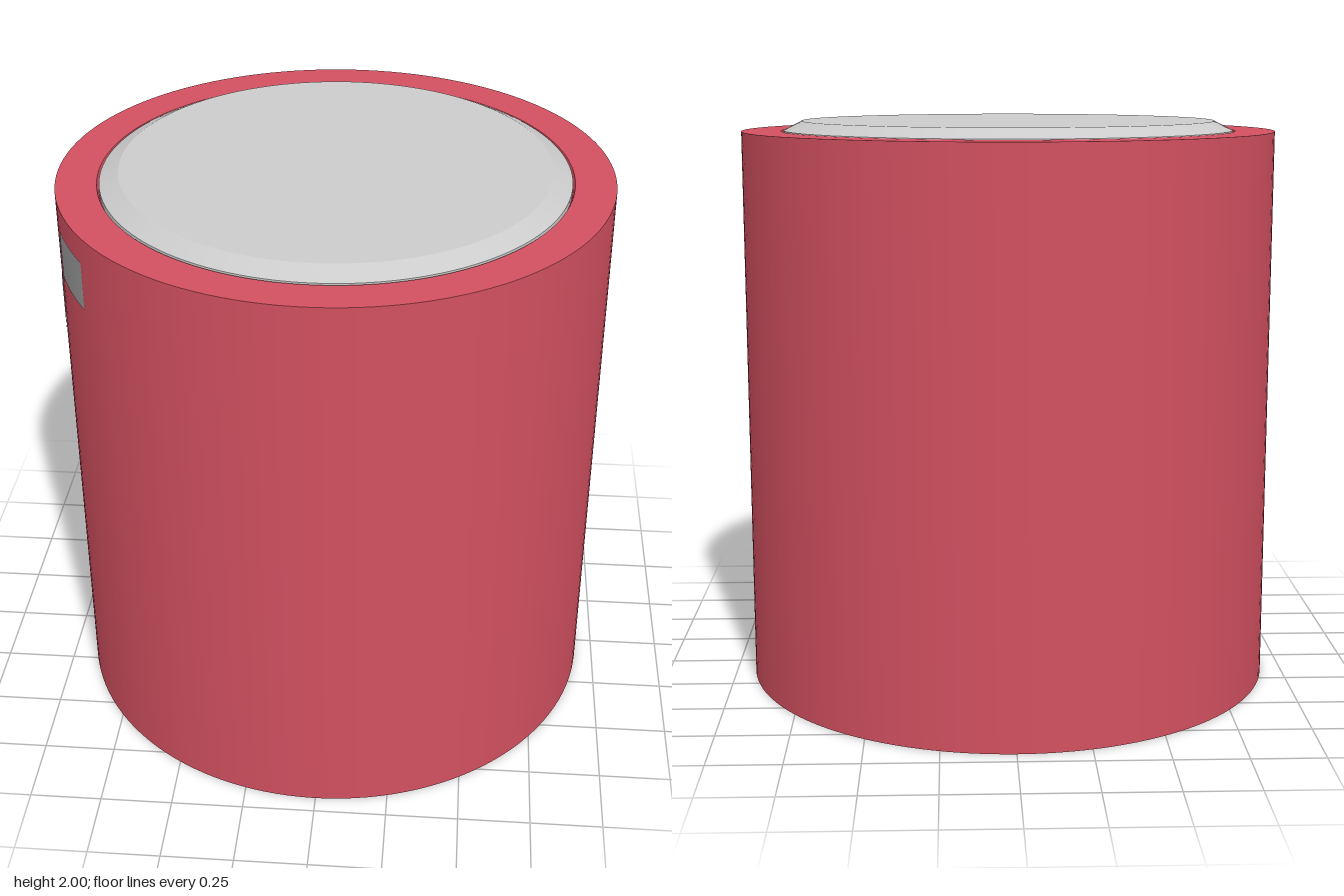
import * as THREE from 'three';
import { toCreasedNormals } from 'three/addons/utils/BufferGeometryUtils.js';

const SEG = 128;
const R = 0.938;
const RIM = 1.965;
const red = new THREE.MeshStandardMaterial({ color: 0xd25060 });
const grey = new THREE.MeshStandardMaterial({ color: 0xcccccc });
const darkGrey = new THREE.MeshStandardMaterial({ color: 0x9a9a9a, side: THREE.DoubleSide });

// Turned solid with crisp edges, from [radius, height] pairs listed bottom to top
function turned(name, profile, material) {
  const points = profile.map(([r, y]) => new THREE.Vector2(r, y));
  const geometry = toCreasedNormals(new THREE.LatheGeometry(points, SEG), 0.35);
  const mesh = new THREE.Mesh(geometry, material);
  mesh.name = name;
  return mesh;
}

// Thin curved patch lying on the side wall, angles in degrees from the front
function wallPatch(name, from, to, y0, y1, slope) {
  const start = THREE.MathUtils.degToRad(from);
  const span = THREE.MathUtils.degToRad(to - from);
  const geometry = new THREE.CylinderGeometry(R + 0.002, R + 0.002, y1 - y0, 8, 1, true, start, span);
  const pos = geometry.attributes.position;
  for (let i = 0; i < pos.count; i++) {
    const angle = Math.atan2(pos.getX(i), pos.getZ(i)) - start - span / 2;
    pos.setY(i, pos.getY(i) + slope * angle);
  }
  const mesh = new THREE.Mesh(geometry, darkGrey);
  mesh.position.y = (y0 + y1) / 2;
  mesh.name = name;
  return mesh;
}

export function createModel() {
  const model = new THREE.Group();
  model.name = 'canister';

  // Solid drum with a shallow seat for the lid
  model.add(turned('body', [
    [0, 0], [R, 0], [R, RIM], [0.8, RIM], [0.793, 1.945], [0, 1.945],
  ], red));

  // Bevelled lid with a narrow groove around it
  model.add(turned('lid', [
    [0, 1.946], [0.792, 1.946], [0.792, 1.967], [0.727, 2], [0, 2],
  ], grey));

  // Small patches on the right side of the wall
  model.add(wallPatch('upperPatch', -69.1, -54.7, 1.71, 1.88, -0.04));
  model.add(wallPatch('lowerPatch', -85.6, -72.9, 1.475, 1.635, 0));

  return model;
}
